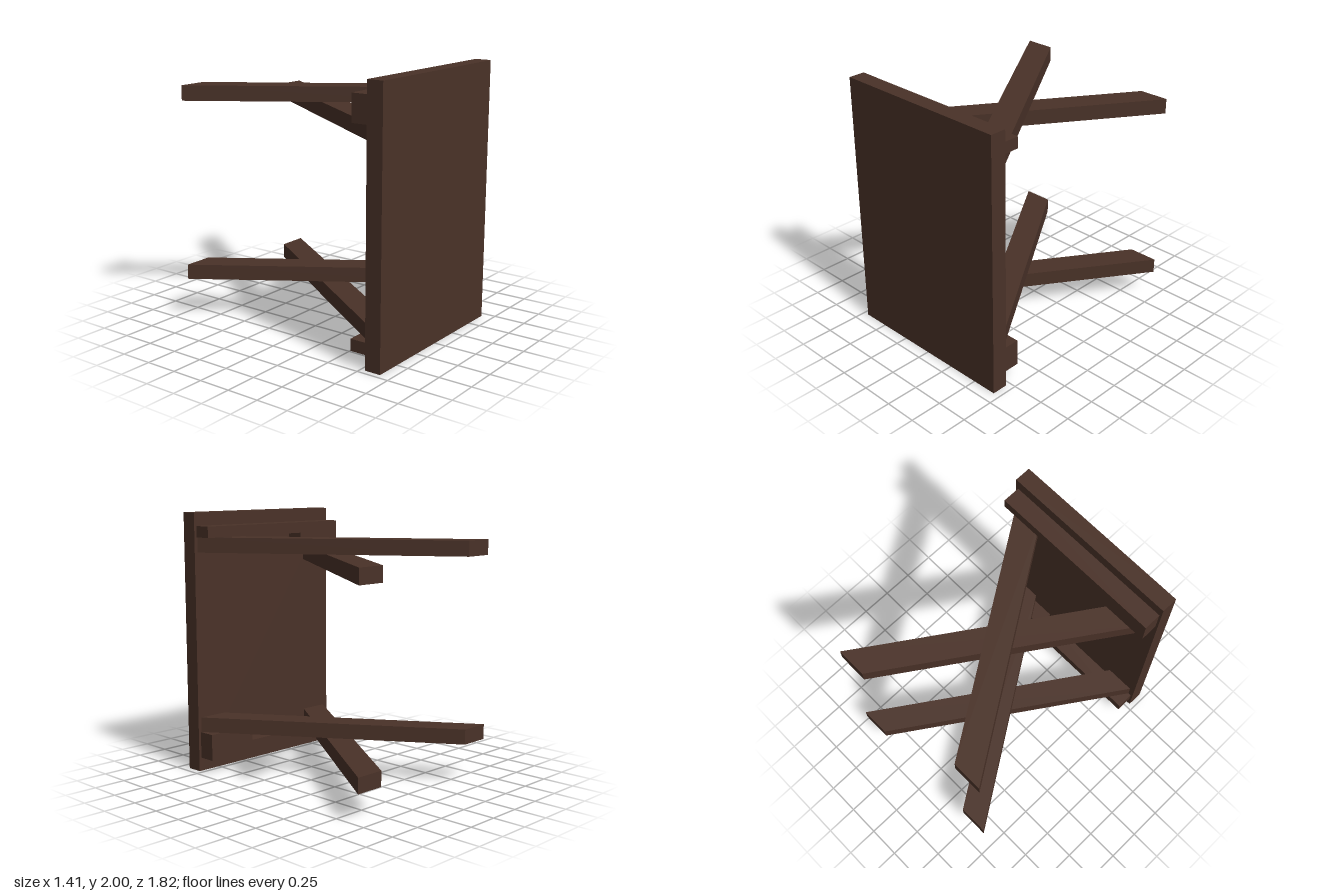
import * as THREE from 'three';

export function createModel() {
  const group = new THREE.Group();
  const wood = new THREE.MeshStandardMaterial({ color: 0x4a3228 });
  wood.name = 'darkWood';

  function add(name, geometry) {
    const mesh = new THREE.Mesh(geometry, wood);
    mesh.name = name;
    group.add(mesh);
    return mesh;
  }

  function prism(points, depth) {
    const shape = new THREE.Shape(points.map(([a, b]) => new THREE.Vector2(a, b)));
    return new THREE.ExtrudeGeometry(shape, { depth, bevelEnabled: false });
  }

  const boardBack = 0.785, legEnd = -0.908;

  // Table top standing on its edge
  add('tableTop', new THREE.BoxGeometry(1.403, 2, 0.125).translate(-0.006, 1, boardBack + 0.0625));

  // Slanted leg with ends cut parallel to the board; x values are its lower edges
  function leg(name, xBoard, xEnd, y) {
    const w = 0.23;
    const geometry = prism([
      [xBoard, -boardBack], [xBoard + w, -boardBack],
      [xEnd + w, -legEnd], [xEnd, -legEnd],
    ], 0.115);
    geometry.rotateX(-Math.PI / 2).translate(0, y, 0);
    add(name, geometry);
  }

  // Two crossed pairs of legs
  for (const [pair, y] of [['lower', 0.195], ['upper', 1.585]]) {
    leg(pair + 'LegInner', -0.665, 0.475, y);
    leg(pair + 'LegOuter', 0.438, -0.685, y + 0.115);
  }

  // Notched cleats that hold the legs against the top
  function cleat(name, points) {
    add(name, prism(points, 0.135).translate(0, 0, 0.65));
  }
  cleat('upperCleat', [
    [-0.69, 1.9], [-0.69, 1.7], [-0.28, 1.7], [-0.28, 1.815], [0.675, 1.815], [0.675, 1.9],
  ]);
  cleat('lowerCleat', [
    [-0.69, 0.105], [0.675, 0.105], [0.675, 0.31], [0.265, 0.31], [0.265, 0.195], [-0.69, 0.195],
  ]);

  return group;
}
